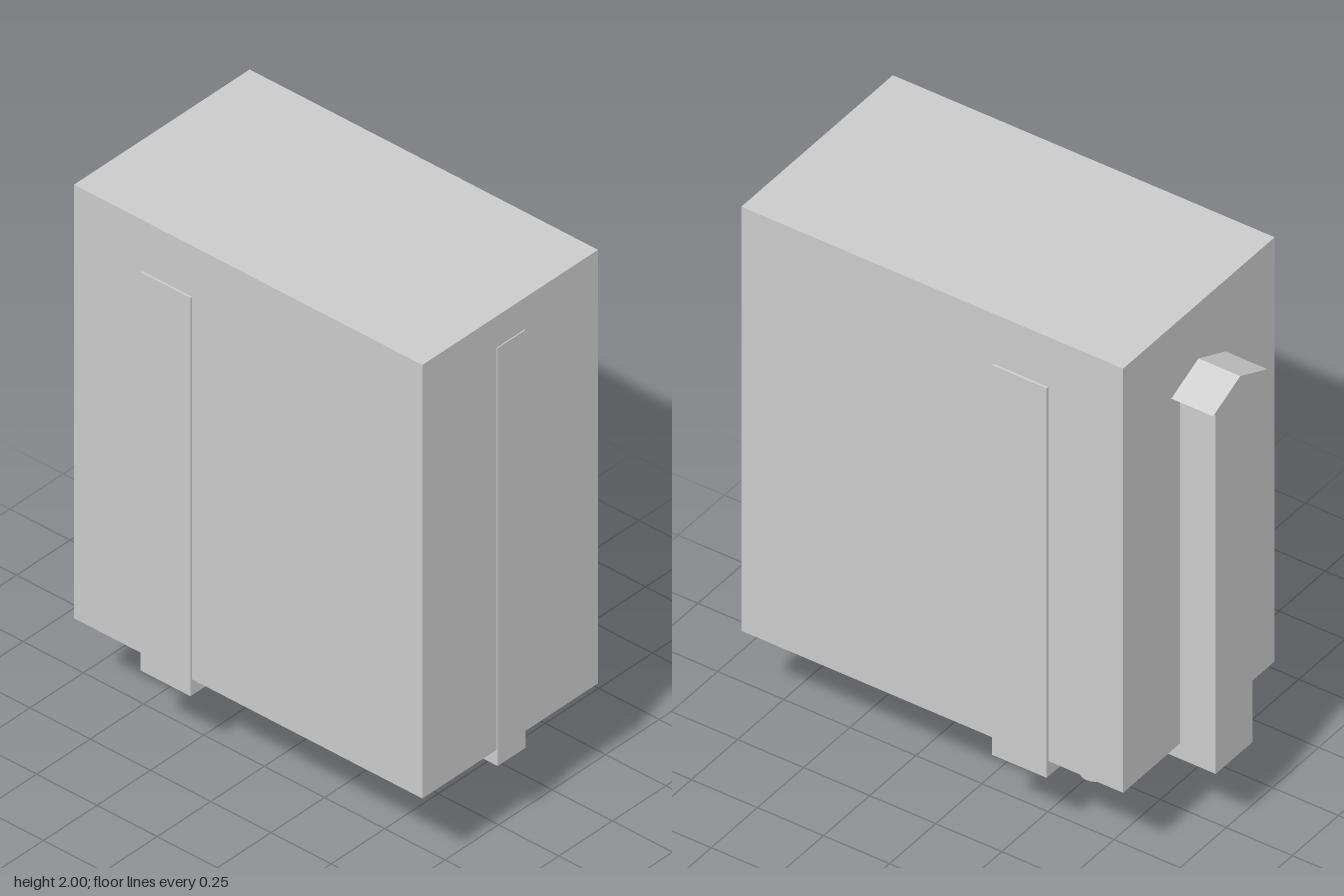
import * as THREE from 'three';

const material = new THREE.MeshStandardMaterial({ color: 0xcccccc, side: THREE.DoubleSide, flatShading: true });
const smooth = new THREE.MeshStandardMaterial({ color: 0xcccccc });

const FLOOR = 0.345; // underside of the body
const FOOT = 0.285;  // lower rim of everything that pokes out below

export function createModel() {
  const model = new THREE.Group();

  function add(name, geometry, mat = material) {
    const mesh = new THREE.Mesh(geometry, mat);
    mesh.name = name;
    model.add(mesh);
    return mesh;
  }

  // Box given by its limits
  function block(name, x0, x1, y0, y1, z0, z1, open = false) {
    const g = new THREE.BoxGeometry(x1 - x0, y1 - y0, z1 - z0);
    if (open) { // drop the bottom face so the box is a hollow shell
      const index = Array.from(g.index.array);
      index.splice(18, 6);
      g.setIndex(index);
    }
    g.translate((x0 + x1) / 2, (y0 + y1) / 2, (z0 + z1) / 2);
    return add(name, g);
  }

  // Short hollow sleeve under the body
  const sleeve = (name, x, z, w, d) =>
    block(name, x - w / 2, x + w / 2, FOOT, FLOOR + 0.002, z - d / 2, z + d / 2, true);

  function cylinder(name, r, y0, y1, z, sides = 24) {
    const g = new THREE.CylinderGeometry(r, r, y1 - y0, sides);
    g.translate(0, (y0 + y1) / 2, z);
    add(name, g, smooth);
  }

  // Main body
  block('body', -0.412, 0.408, FLOOR, 2, -0.645, 0.8);

  // Hollow guides running down the sides, front and back
  block('leftSideGuide', 0.22, 0.417, FOOT, 1.805, -0.362, -0.155, true);
  block('rightSideGuide', -0.42, -0.223, FOOT, 1.805, -0.362, -0.155, true);
  block('frontGuide', -0.065, 0.065, FOOT, 1.88, 0.69, 0.804, true);
  block('backColumn', -0.1, 0.1, FOOT, 1.71, -0.78, -0.6, true);

  // Gabled cap above the back column
  const gable = new THREE.Shape();
  gable.moveTo(-0.147, 1.72);
  gable.lineTo(0.147, 1.72);
  gable.lineTo(0, 1.785);
  gable.closePath();
  const cap = new THREE.ExtrudeGeometry(gable, { depth: 0.16, bevelEnabled: false });
  cap.translate(0, 0, -0.803);
  add('columnCap', cap);

  // Stepped spindle
  cylinder('spindleCollar', 0.078, FOOT, FLOOR + 0.01, -0.255);
  cylinder('spindleShaft', 0.063, 0.1, FOOT + 0.01, -0.255);
  cylinder('spindleTip', 0.05, 0, 0.11, -0.255);

  // Four small open rings around the spindle
  for (const x of [-0.2, 0.2]) {
    for (const z of [-0.43, -0.085]) {
      const g = new THREE.CylinderGeometry(0.052, 0.052, FLOOR - FOOT, 6, 1, true);
      g.translate(x, (FLOOR + FOOT) / 2, z);
      add('fixingRing', g);
    }
  }

  // Socket frame with its surrounding small sleeves
  sleeve('socketFrame', 0, 0.4, 0.25, 0.4);
  for (const s of [-1, 1]) {
    sleeve('socketSleeve', s * 0.18, 0.26, 0.08, 0.07);
    sleeve('socketSleeve', s * 0.18, 0.55, 0.08, 0.08);
    sleeve('socketPin', s * 0.11, 0.1, 0.03, 0.035);
  }
  sleeve('socketSleeve', 0, 0.14, 0.09, 0.08);
  sleeve('socketSleeve', 0, 0.63, 0.08, 0.06);

  return model;
}
